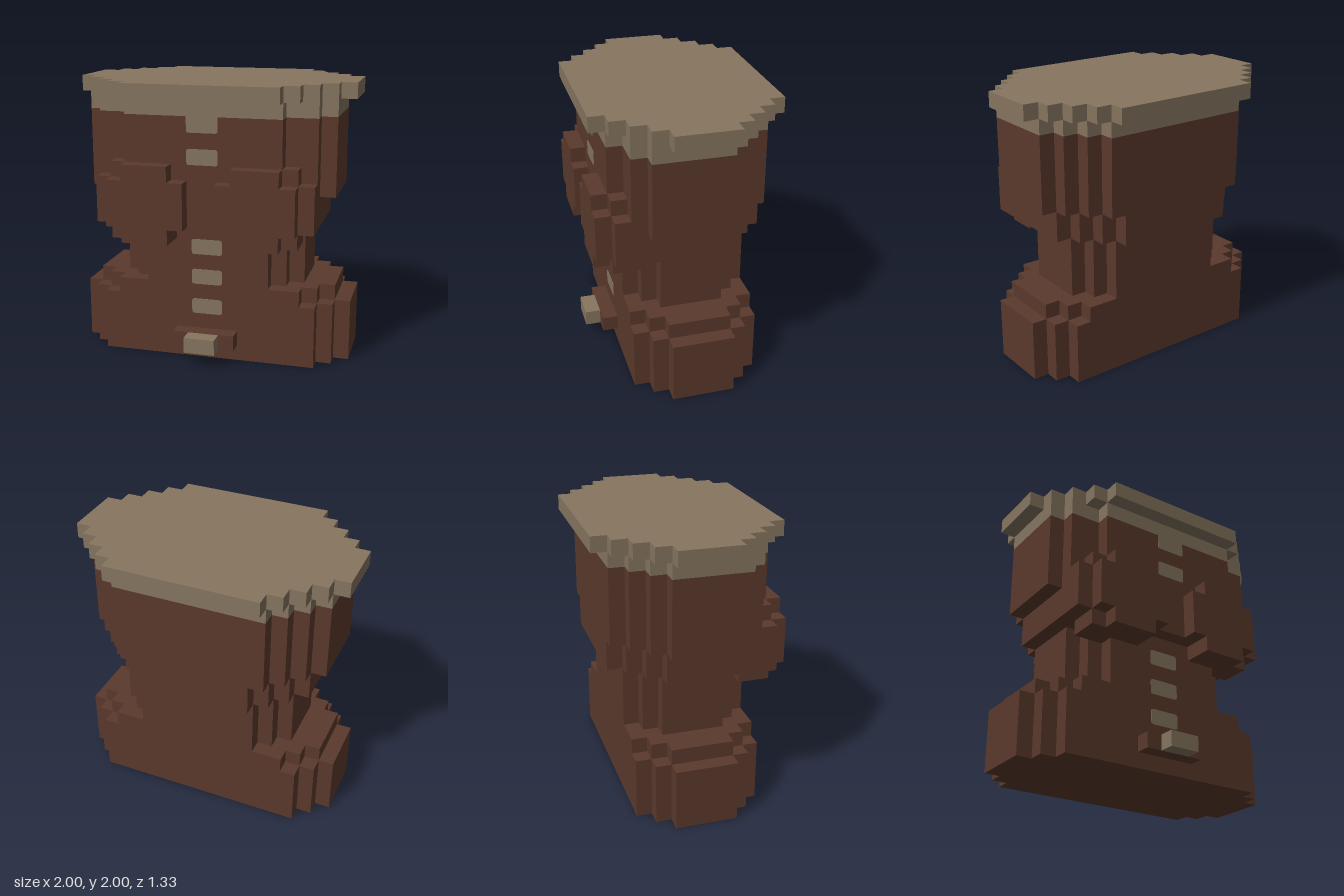
import * as THREE from 'three';

const U = 1 / 9; // one block

const brown = new THREE.MeshStandardMaterial({ color: 0x5b392c });
brown.name = 'dark brown';
const beige = new THREE.MeshStandardMaterial({ color: 0x86755f });
beige.name = 'dull beige';

// Stepped outline from rows [v0, v1, xMin, xMax], ordered by rising v
function steppedShape(rows) {
  const pts = [];
  for (const [v0, v1, , x1] of rows) pts.push([x1, v0], [x1, v1]);
  for (const [v0, v1, x0] of [...rows].reverse()) pts.push([x0, v1], [x0, v0]);
  return new THREE.Shape(pts.map(([x, v]) => new THREE.Vector2(x * U, v * U)));
}

function extrude(shape, depth) {
  return new THREE.ExtrudeGeometry(shape, { depth, bevelEnabled: false, curveSegments: 4 });
}

function addMesh(parent, name, geometry, material) {
  const mesh = new THREE.Mesh(geometry, material);
  mesh.name = name;
  parent.add(mesh);
  return mesh;
}

// Horizontal layer from y0 to y1; rows [zBack, zFront, halfWidth], back to front
function addLayer(parent, name, y0, y1, rows, material) {
  const flipped = [...rows].reverse().map(([b, f, w]) => [-f, -b, -w, w]);
  const geometry = extrude(steppedShape(flipped), (y1 - y0) * U);
  geometry.rotateX(-Math.PI / 2);
  geometry.translate(0, y0 * U, 0);
  return addMesh(parent, name, geometry, material);
}

// Symmetric layer: widest in the middle, one block narrower per step
function roundedRows(width, steps) {
  const rows = [[-2, 2, width]];
  for (let i = 1; i <= steps; i++) {
    rows.unshift([-2 - i, -1 - i, width - i]);
    rows.push([1 + i, 2 + i, width - i]);
  }
  return rows;
}

function addBox(parent, name, x0, x1, y0, y1, z0, z1, material) {
  const geometry = new THREE.BoxGeometry((x1 - x0) * U, (y1 - y0) * U, (z1 - z0) * U);
  geometry.translate((x0 + x1) / 2 * U, (y0 + y1) / 2 * U, (z0 + z1) / 2 * U);
  return addMesh(parent, name, geometry, material);
}

// Thin rounded plate, two blocks wide and one high
function addButton(parent, y, z) {
  const w = U, h = U, r = 0.02;
  const s = new THREE.Shape();
  s.moveTo(-w + r, 0);
  s.lineTo(w - r, 0);
  s.quadraticCurveTo(w, 0, w, r);
  s.lineTo(w, h - r);
  s.quadraticCurveTo(w, h, w - r, h);
  s.lineTo(-w + r, h);
  s.quadraticCurveTo(-w, h, -w, h - r);
  s.lineTo(-w, r);
  s.quadraticCurveTo(-w, 0, -w + r, 0);
  addMesh(parent, 'button', extrude(s, 0.003), beige).position.set(0, y * U, z * U);
}

export function createModel() {
  const model = new THREE.Group();
  model.name = 'blockTorso';

  // Hips and waist
  addLayer(model, 'hips', 0, 4, roundedRows(9, 2), brown);
  addLayer(model, 'upperHips', 4, 5, roundedRows(8, 2), brown);
  addLayer(model, 'waist', 5, 9, roundedRows(6, 2), brown);

  // Chest, flatter at the front than at the back
  addLayer(model, 'lowerChest', 9, 11,
    [[-5, -4, 4], [-4, -3, 5], [-3, -2, 6], [-2, 4, 7], [4, 5, 5]], brown);
  const chest = [[-5, -4, 5], [-4, -3, 6], [-3, -2, 7], [-2, 3, 8], [3, 4, 7], [4, 5, 5]];
  addLayer(model, 'upperChest', 11, 16, chest, brown);
  addLayer(model, 'collarBand', 16, 17, chest, beige);

  // Wide flat collar on top
  addLayer(model, 'collar', 17, 18, roundedRows(9, 4), beige);

  // Two chest plates on each side, with stepped corners
  for (const side of [1, -1]) {
    const place = (a, b) => (side > 0 ? [a, b] : [-b, -a]);
    const plate = (name, inner, outer, z0, z1) => {
      const shape = steppedShape([
        [8, 9, ...place(inner + 1, outer - 1)],
        [9, 12, ...place(inner, outer)],
        [12, 13, ...place(inner + 1, outer - 1)],
      ]);
      addMesh(model, name, extrude(shape, (z1 - z0) * U), brown).position.z = z0 * U;
    };
    const label = side > 0 ? 'left' : 'right';
    plate(label + 'ChestBase', 1, 7, 3, 5);
    plate(label + 'ChestFront', 1, 6, 5, 6);
  }

  // Row of buttons down the front
  for (const y of [13, 15]) addButton(model, y, 5);
  for (const y of [3, 5, 7]) addButton(model, y, 4);
  // Tab joining the top button to the collar band
  addBox(model, 'buttonTab', -1, 1, 15.7, 16, 5, 5.027, beige);

  // Clasp at the bottom
  addBox(model, 'claspBase', -2, 2, 1, 2, 4, 5, brown);
  addBox(model, 'clasp', -1, 1, 1, 2, 5, 6, beige);

  return model;
}
